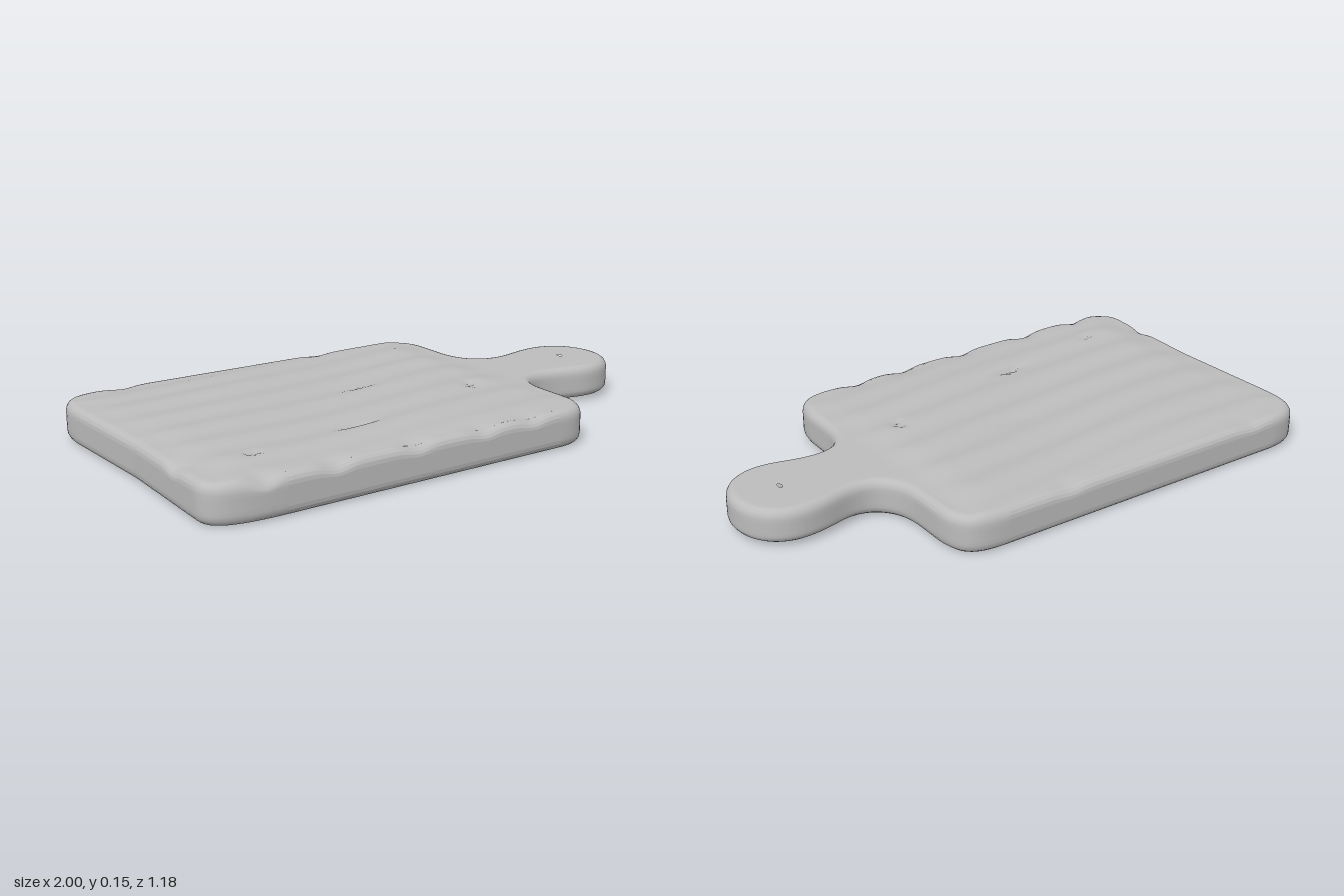
import * as THREE from 'three';
import { mergeVertices } from 'three/addons/utils/BufferGeometryUtils.js';

const smooth = THREE.MathUtils.smoothstep;

// Board outline in plan; the shape's y is -z
function boardShape() {
  const s = new THREE.Shape();
  const line = (x, z) => s.lineTo(x, -z);
  const curve = (a, b, c, d, x, z) => s.bezierCurveTo(a, -b, c, -d, x, -z);
  s.moveTo(-0.965, 0.0);
  line(-0.96, -0.42);
  curve(-0.955, -0.55, -0.92, -0.595, -0.8, -0.597); // back left corner
  line(0.36, -0.53);
  curve(0.48, -0.52, 0.515, -0.48, 0.518, -0.38); // back right corner
  line(0.513, -0.25);
  curve(0.515, -0.15, 0.56, -0.1, 0.64, -0.1); // neck, back
  curve(0.7, -0.1, 0.74, -0.122, 0.82, -0.122); // round handle end
  curve(0.93, -0.122, 0.997, -0.045, 0.997, 0.055);
  curve(0.997, 0.155, 0.93, 0.23, 0.83, 0.23);
  curve(0.75, 0.23, 0.7, 0.188, 0.61, 0.186);
  curve(0.53, 0.186, 0.49, 0.24, 0.485, 0.33); // neck, front
  line(0.478, 0.45);
  curve(0.465, 0.55, 0.43, 0.59, 0.33, 0.588); // front right corner
  line(-0.76, 0.548);
  curve(-0.92, 0.54, -0.998, 0.51, -0.998, 0.43); // front left corner
  line(-0.965, 0.0);
  const hole = new THREE.Path();
  hole.absellipse(0.83, -0.05, 0.035, 0.042, 0, Math.PI * 2, true);
  s.holes.push(hole);
  return s;
}

// Split every edge longer than maxEdge so the faces can be sculpted
function subdivide(geo, maxEdge) {
  const src = geo.index ? geo.toNonIndexed() : geo;
  const p = src.attributes.position, stack = [], out = [];
  for (let i = 0; i < p.count; i += 3)
    stack.push([0, 1, 2].map((k) => new THREE.Vector3().fromBufferAttribute(p, i + k)));
  while (stack.length) {
    const t = stack.pop();
    const len = t.map((v, k) => v.distanceTo(t[(k + 1) % 3]));
    const k = len.indexOf(Math.max(...len));
    if (len[k] <= maxEdge) {
      t.forEach((v) => out.push(v.x, v.y, v.z));
      continue;
    }
    const a = t[k], b = t[(k + 1) % 3], c = t[(k + 2) % 3];
    const m = a.clone().add(b).multiplyScalar(0.5);
    stack.push([a, m, c], [m, b, c]);
  }
  const g = new THREE.BufferGeometry();
  g.setAttribute('position', new THREE.Float32BufferAttribute(out, 3));
  return mergeVertices(g, 1e-4);
}

// Cuts in the top: x, z, half length, half width, depth
const CUTS = [
  [-0.31, 0.295, 0.06, 0.013, 0.016],
  [-0.74, 0.345, 0.035, 0.012, 0.012],
  [0.28, 0.165, 0.018, 0.03, 0.014],
  [-0.05, -0.05, 0.08, 0.018, 0.005],
];

// Worn nicks along the rim: x, z, radius, depth
const NICKS = [
  [-0.82, 0.54, 0.045, 0.018], [-0.57, 0.55, 0.05, 0.016], [-0.27, 0.56, 0.05, 0.014],
  [0.0, 0.57, 0.05, 0.014], [0.2, 0.58, 0.05, 0.014], [-0.98, 0.28, 0.04, 0.014],
  [-0.7, -0.585, 0.05, 0.008], [0.1, -0.54, 0.05, 0.008],
];

// Height change of the top surface: gentle lengthwise waves, cuts and nicks
function topRelief(x, z) {
  const inset = Math.min(x + 0.98, 0.5 - x, 0.57 - Math.abs(z));
  const wave = 0.009 + 0.004 * Math.cos(z * 38 + Math.sin(x * 3)) + 0.003 * Math.sin(x * 7 + z * 5);
  let y = wave * smooth(inset, 0.02, 0.16);
  for (const [cx, cz, l, w, d] of CUTS)
    y -= d * Math.exp(-(((x - cx) / l) ** 2) - ((z - cz) / w) ** 2);
  for (const [cx, cz, r, d] of NICKS)
    y -= d * Math.exp(-((x - cx) ** 2 + (z - cz) ** 2) / (r * r));
  return y;
}

export function createModel() {
  const model = new THREE.Group();
  const grey = new THREE.MeshStandardMaterial({ color: 0xbcbcbc });
  grey.name = 'plain grey';

  // One thick slab with rounded rims
  const slab = new THREE.ExtrudeGeometry(boardShape(), {
    depth: 0.066, curveSegments: 12,
    bevelThickness: 0.033, bevelSize: 0.028, bevelOffset: -0.028, bevelSegments: 4,
  });
  slab.rotateX(-Math.PI / 2);
  slab.translate(0, 0.039, 0);
  const geo = subdivide(slab, 0.032);

  // Sculpt the top and lift the underside of the handle
  const p = geo.attributes.position;
  for (let i = 0; i < p.count; i++) {
    const x = p.getX(i), y = p.getY(i), z = p.getZ(i);
    const top = smooth(y, 0.07, 0.138), bottom = 1 - smooth(y, 0.006, 0.07);
    p.setY(i, y + topRelief(x, z) * top + 0.012 * smooth(x, 0.48, 0.68) * bottom);
  }
  geo.computeVertexNormals();

  const board = new THREE.Mesh(geo, grey);
  board.name = 'cuttingBoard';
  model.add(board);
  return model;
}
